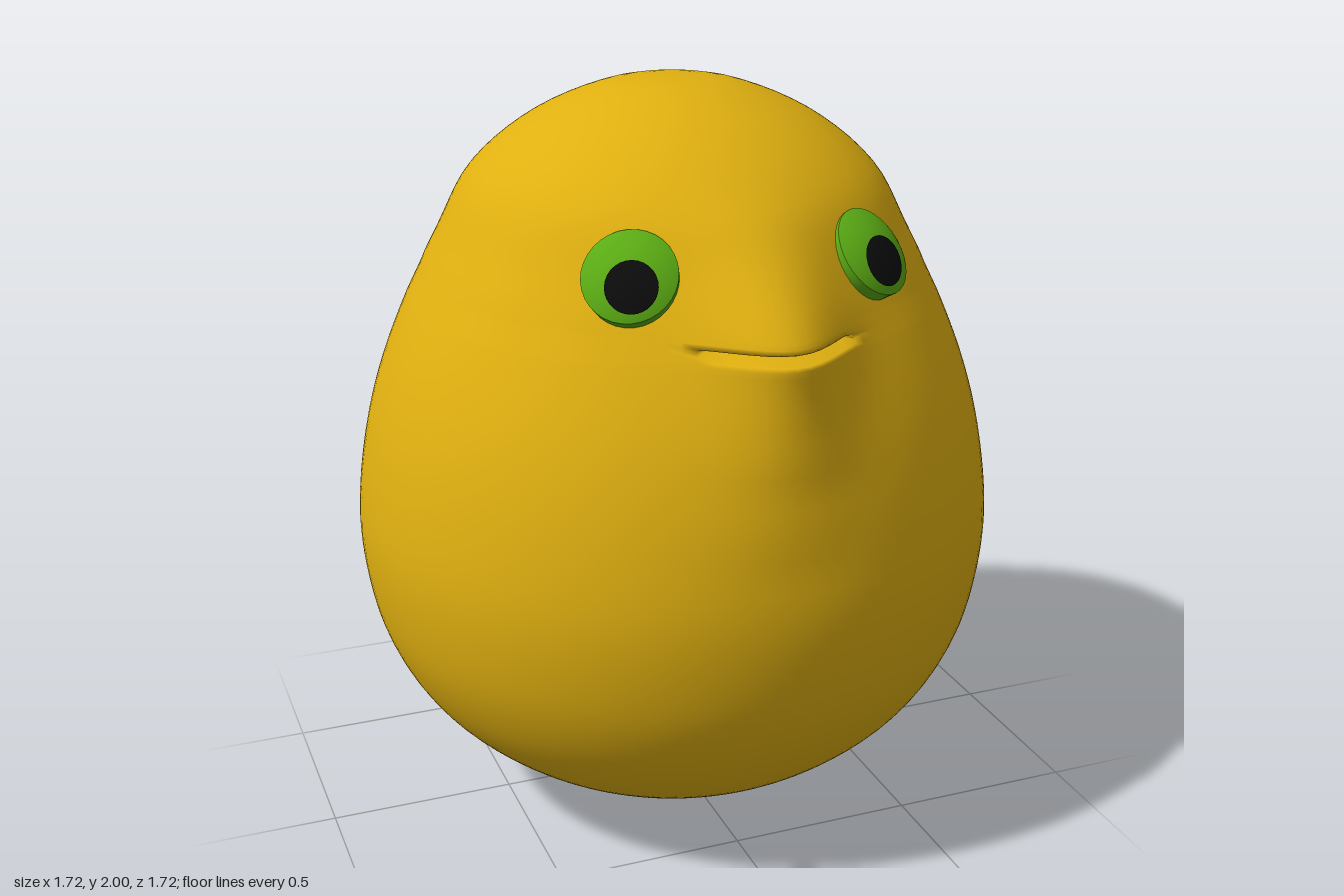
import * as THREE from 'three';
import { mergeVertices } from 'three/addons/utils/BufferGeometryUtils.js';

const mat = (name, color) => {
  const m = new THREE.MeshStandardMaterial({ color });
  m.name = name;
  return m;
};

// Piecewise linear lookup through [position, value] pairs
function lookup(table, t) {
  if (t <= table[0][0]) return table[0][1];
  for (let i = 1; i < table.length; i++) {
    const [a, va] = table[i - 1], [b, vb] = table[i];
    if (t <= b) return va + (vb - va) * (t - a) / (b - a);
  }
  return table[table.length - 1][1];
}

// Egg outline: radius, height
const EGG = [
  [0, 0.005], [0.16, 0.02], [0.32, 0.07], [0.47, 0.14], [0.6, 0.23], [0.71, 0.34],
  [0.79, 0.47], [0.84, 0.62], [0.862, 0.82], [0.84, 1.03], [0.79, 1.23], [0.71, 1.43],
  [0.62, 1.61], [0.53, 1.77], [0.37, 1.9], [0.17, 1.983], [0, 2],
];
// How far the snout stands out, by height
const SNOUT = [
  [0.95, 0], [1.15, 0.022], [1.3, 0.06], [1.4, 0.095], [1.45, 0.12], [1.5, 0.132],
  [1.54, 0.122], [1.61, 0.095], [1.7, 0.05], [1.8, 0.012], [1.88, 0],
];
// Depth of the mouth slit, by height
const SLIT = [[1.46, 0], [1.472, 0.11], [1.478, 0.11], [1.488, 0]];
const MOUTH_HALF = 0.2;

function bodyGeometry() {
  // Even rows everywhere, tight rows at the lips
  const curve = new THREE.SplineCurve(EGG.map(([r, y]) => new THREE.Vector2(r, y)));
  const rows = curve.getPoints(80).filter((p) => p.y < 1.43 || p.y > 1.52);
  for (const y of [1.435, 1.45, 1.46, 1.472, 1.478, 1.488, 1.5, 1.512]) {
    rows.push(new THREE.Vector2(0.71 - (y - 1.43) * 0.5, y));
  }
  rows.sort((a, b) => a.y - b.y);
  rows[0].x = rows[rows.length - 1].x = 0;

  let geo = new THREE.LatheGeometry(rows, 128, Math.PI);
  const pos = geo.attributes.position;
  for (let i = 0; i < pos.count; i++) {
    const x = pos.getX(i), y = pos.getY(i), z = pos.getZ(i);
    if (z <= 0) continue;
    const bump = lookup(SNOUT, y) * Math.exp(-((x / 0.175) ** 2));
    const open = Math.sqrt(Math.max(0, 1 - (x / MOUTH_HALF) ** 2));
    pos.setZ(i, z + bump - lookup(SLIT, y) * open);
  }
  // Weld the seam so the shading is smooth all round
  geo.deleteAttribute('uv');
  geo.deleteAttribute('normal');
  geo = mergeVertices(geo, 1e-5);
  geo.computeVertexNormals();
  return geo;
}

function makeEye(side, green, black) {
  const R = 0.117, H = 0.035;
  const S = (R * R + H * H) / (2 * H); // dome sphere radius
  const up = new THREE.Vector3(0, 1, 0);
  const normal = new THREE.Vector3(side * 0.42, 0.58, 0.7).normalize();
  const look = new THREE.Vector3(0, -0.14, 0.12).add(normal).normalize();

  const eye = new THREE.Group();
  eye.name = side > 0 ? 'leftEye' : 'rightEye';
  eye.position.set(side * 0.315, 1.64, 0.55);

  const turn = new THREE.Quaternion().setFromUnitVectors(up, normal);
  const centre = normal.clone().multiplyScalar(H - S);

  const dome = new THREE.Mesh(
    new THREE.SphereGeometry(S, 32, 10, 0, Math.PI * 2, 0, Math.asin(R / S)), green);
  dome.name = 'eyeDome';
  dome.position.copy(centre);
  dome.quaternion.copy(turn);

  const rim = new THREE.Mesh(new THREE.CylinderGeometry(R, R * 0.95, 0.07, 32, 1, true), green);
  rim.name = 'eyeRim';
  rim.position.copy(normal).multiplyScalar(-0.035);
  rim.quaternion.copy(turn);

  // Thin cap lying on the dome
  const pupil = new THREE.Mesh(
    new THREE.SphereGeometry(S + 0.003, 28, 6, 0, Math.PI * 2, 0, 0.3), black);
  pupil.name = 'pupil';
  pupil.position.copy(centre);
  pupil.quaternion.setFromUnitVectors(up, look);

  eye.add(dome, rim, pupil);
  return eye;
}

export function createModel() {
  const yellow = mat('golden yellow', 0xe0b010);
  const green = mat('eye green', 0x5aaa14);
  const black = mat('pupil black', 0x0c0c0c);

  const model = new THREE.Group();
  model.name = 'eggCreature';
  const body = new THREE.Mesh(bodyGeometry(), yellow);
  body.name = 'body';
  model.add(body);
  for (const side of [1, -1]) model.add(makeEye(side, green, black));
  return model;
}
